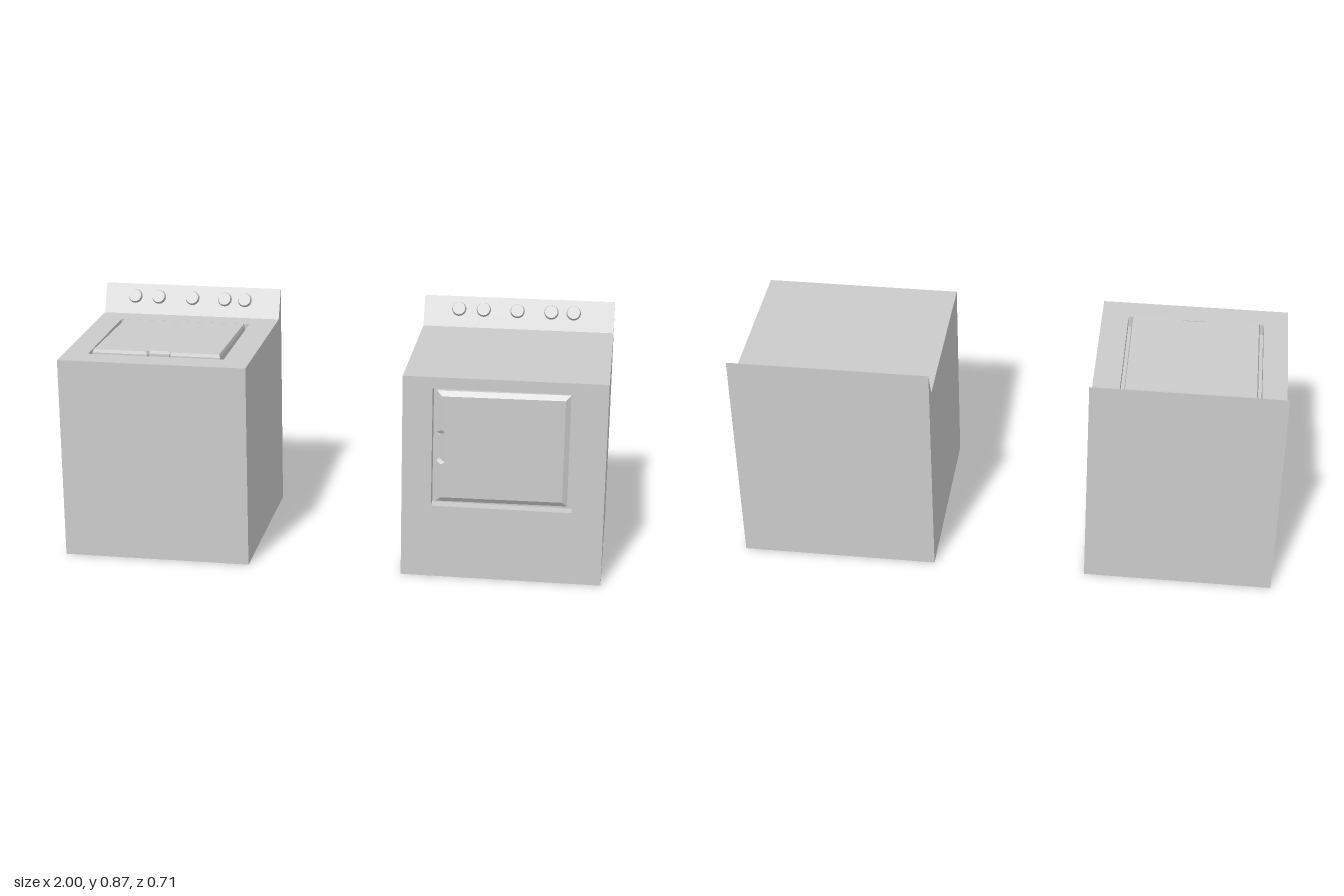
import * as THREE from 'three';

const DECK = 0.763, TOP = 0.872, Z = 0.357, SLOPE_Z = -0.305;
const RECESS = 0.045;
const grey = new THREE.MeshStandardMaterial({ color: 0xcccccc, flatShading: true });

function mesh(geometry, name) {
  const m = new THREE.Mesh(geometry, grey);
  m.name = name;
  return m;
}

function box(name, x0, x1, y0, y1, z0, z1) {
  const m = mesh(new THREE.BoxGeometry(x1 - x0, y1 - y0, z1 - z0), name);
  m.position.set((x0 + x1) / 2, (y0 + y1) / 2, (z0 + z1) / 2);
  return m;
}

function rect(Type, x0, x1, y0, y1) {
  return new Type([[x0, y0], [x1, y0], [x1, y1], [x0, y1]].map(p => new THREE.Vector2(...p)));
}

// Flat plate with a rectangular opening; outer and inner are [x0, x1, y0, y1]
function plate(name, outer, inner) {
  const shape = rect(THREE.Shape, ...outer);
  shape.holes.push(rect(THREE.Path, ...inner));
  return mesh(new THREE.ExtrudeGeometry(shape, { depth: RECESS, bevelEnabled: false }), name);
}

// Bevelled panel with a finger notch in its lower edge; its face lies on z = 0
function panel(w, h, thickness, bevel, notchW, notchX) {
  const a = w / 2, b = h / 2, n = notchW / 2, d = 0.014;
  const pts = [[-a, -b], [notchX - n, -b], [notchX - n + 0.008, -b + d],
    [notchX + n - 0.008, -b + d], [notchX + n, -b], [a, -b], [a, b], [-a, b]];
  const g = new THREE.ExtrudeGeometry(new THREE.Shape(pts.map(p => new THREE.Vector2(...p))), {
    depth: thickness, bevelThickness: 0.012, bevelSize: bevel, bevelOffset: -bevel, bevelSegments: 1
  });
  return g.translate(0, 0, -thickness - 0.012);
}

// Sloping control console along the back edge, with its row of knobs
function console_(x0, x1, knobXs) {
  const group = new THREE.Group();
  group.name = 'controlConsole';
  const profile = new THREE.Shape([[-SLOPE_Z, DECK], [Z, DECK], [Z, TOP]].map(p => new THREE.Vector2(...p)));
  const g = new THREE.ExtrudeGeometry(profile, { depth: x1 - x0, bevelEnabled: false });
  g.rotateY(Math.PI / 2).translate(x0, 0, 0);
  group.add(mesh(g, 'consoleWedge'));

  const tilt = Math.atan2(Z + SLOPE_Z, TOP - DECK);
  knobXs.forEach((x, i) => {
    const knob = new THREE.Group();
    knob.name = 'knob' + (i + 1);
    const dial = mesh(new THREE.CylinderGeometry(0.024, 0.028, 0.014, 24).rotateX(Math.PI / 2), 'knobDial');
    dial.position.z = 0.006;
    knob.add(dial);
    const y = 0.827;
    knob.position.set(x, y, SLOPE_Z + (y - DECK) / (TOP - DECK) * (-Z - SLOPE_Z));
    knob.rotation.x = -tilt;
    group.add(knob);
  });
  return group;
}

// Top-loading washer with a sunken surround and a tilted lid
function makeWasher() {
  const g = new THREE.Group(), x0 = -1, x1 = -0.3;
  g.name = 'washer';
  g.add(box('washerCabinet', x0, x1, 0, DECK - RECESS, -Z, Z));
  const deck = plate('washerDeck', [x0, x1, -Z, Z], [-0.91, -0.4, -0.26, 0.22]);
  deck.rotation.x = -Math.PI / 2;
  deck.position.y = DECK - RECESS;
  g.add(deck);
  const lid = mesh(panel(0.48, 0.46, 0.03, 0.004, 0.09, 0.01), 'washerLid');
  lid.rotation.x = -Math.PI / 2 - 0.024;
  lid.position.set(-0.655, 0.7725, 0.022);
  g.add(lid);
  g.add(box('lidPull', -0.683, -0.607, 0.735, 0.768, 0.234, 0.246));
  g.add(console_(x0, x1, [-0.88, -0.785, -0.65, -0.52, -0.44]));
  return g;
}

// Front-loading dryer with a recessed square door
function makeDryer() {
  const g = new THREE.Group(), x0 = 0.27, x1 = 1;
  g.name = 'dryer';
  g.add(box('dryerCabinet', x0, x1, 0, DECK, -Z, Z - RECESS));
  const front = plate('dryerFront', [x0, x1, 0, DECK], [0.378, 0.885, 0.275, 0.72]);
  front.position.z = Z - RECESS;
  g.add(front);
  // The notch edge turns to the left side, opposite the hinge
  const door = mesh(panel(0.42, 0.475, 0.02, 0.018, 0.11, 0).rotateZ(-Math.PI / 2), 'dryerDoor');
  door.rotation.y = 0.024;
  door.position.set(0.63, 0.497, 0.341);
  g.add(door);
  g.add(box('doorPull', 0.397, 0.412, 0.455, 0.54, 0.31, 0.335));
  g.add(console_(x0, x1, [0.405, 0.5, 0.63, 0.76, 0.845]));
  return g;
}

export function createModel() {
  const model = new THREE.Group();
  model.name = 'laundryPair';
  model.add(makeWasher(), makeDryer());
  return model;
}
